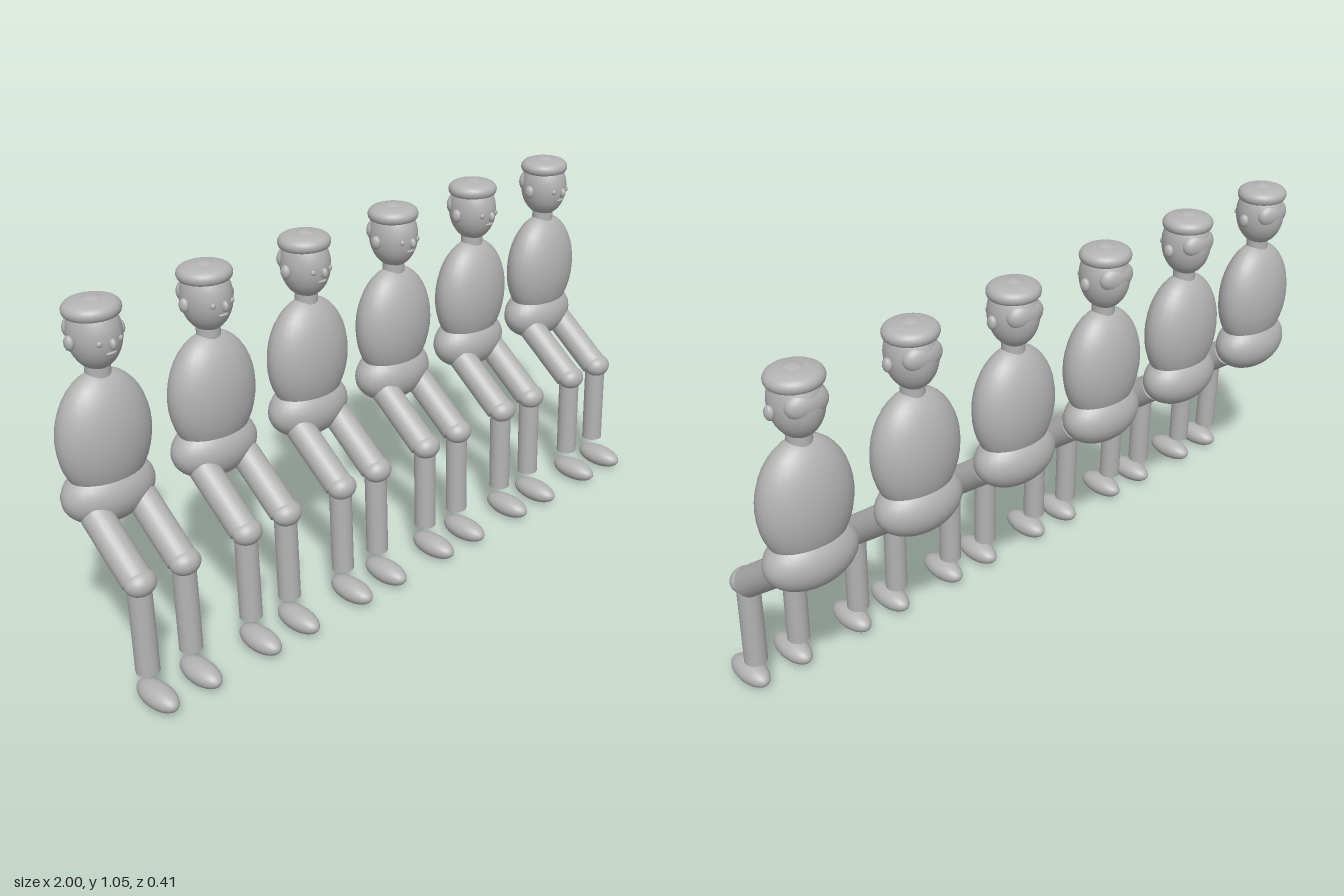
import * as THREE from 'three';

const grey = new THREE.MeshStandardMaterial({ color: 0xb3b3b3 });
grey.name = 'plain grey';

const bigBall = new THREE.SphereGeometry(1, 32, 20);
const smallBall = new THREE.SphereGeometry(1, 14, 10);

// Ellipsoid with given centre and radii
function ellipsoid(parent, name, pos, radii, geometry = bigBall) {
  const mesh = new THREE.Mesh(geometry, grey);
  mesh.name = name;
  mesh.position.set(...pos);
  mesh.scale.set(...radii);
  parent.add(mesh);
  return mesh;
}

// Cylinder running between two points
function limb(parent, name, from, to, radius) {
  const a = new THREE.Vector3(...from);
  const b = new THREE.Vector3(...to);
  const dir = b.clone().sub(a);
  const mesh = new THREE.Mesh(new THREE.CylinderGeometry(radius, radius, dir.length(), 24), grey);
  mesh.name = name;
  mesh.position.copy(a).add(b).multiplyScalar(0.5);
  mesh.quaternion.setFromUnitVectors(new THREE.Vector3(0, 1, 0), dir.normalize());
  parent.add(mesh);
}

function createHead() {
  const head = new THREE.Group();
  head.name = 'head';
  ellipsoid(head, 'skull', [0, 0.955, -0.118], [0.068, 0.096, 0.076]);
  ellipsoid(head, 'hair', [0, 0.965, -0.162], [0.06, 0.042, 0.032]);

  // Flat round cap with a soft rim
  const rim = new THREE.SplineCurve([
    [0, 0.999], [0.045, 0.999], [0.068, 1.003], [0.075, 1.015],
    [0.073, 1.027], [0.062, 1.037], [0.035, 1.044], [0, 1.046],
  ].map(([x, y]) => new THREE.Vector2(x, y)));
  const points = rim.getPoints(20);
  points.forEach((p) => { p.x = Math.max(p.x, 0); });
  const cap = new THREE.Mesh(new THREE.LatheGeometry(points, 32), grey);
  cap.name = 'cap';
  cap.position.z = -0.12;
  cap.scale.z = 0.97;
  head.add(cap);

  // Face
  ellipsoid(head, 'nose', [0, 0.945, -0.04], [0.009, 0.015, 0.011], smallBall);
  ellipsoid(head, 'mouth', [0, 0.92, -0.048], [0.016, 0.004, 0.006], smallBall);
  for (const side of [-1, 1]) {
    ellipsoid(head, 'eye', [side * 0.03, 0.95, -0.051], [0.008, 0.008, 0.006], smallBall);
    ellipsoid(head, 'ear', [side * 0.074, 0.947, -0.116], [0.012, 0.02, 0.016], smallBall);
  }
  return head;
}

function createLeg(side) {
  const leg = new THREE.Group();
  leg.name = side > 0 ? 'leftLeg' : 'rightLeg';
  const x = side * 0.07;
  limb(leg, 'thigh', [x, 0.483, -0.08], [x, 0.36, 0.08], 0.042);
  ellipsoid(leg, 'knee', [x, 0.36, 0.093], [0.044, 0.036, 0.038]);
  limb(leg, 'shin', [x, 0.35, 0.086], [x, 0.093, 0.093], 0.032);
  ellipsoid(leg, 'foot', [x, 0.033, 0.129], [0.038, 0.033, 0.078]);
  return leg;
}

function createFigure() {
  const figure = new THREE.Group();
  ellipsoid(figure, 'torso', [0, 0.68, -0.117], [0.135, 0.177, 0.085]);
  ellipsoid(figure, 'pelvis', [0, 0.52, -0.12], [0.135, 0.088, 0.085]);
  limb(figure, 'neck', [0, 0.83, -0.117], [0, 0.89, -0.117], 0.033);
  figure.add(createHead(), createLeg(-1), createLeg(1));
  return figure;
}

export function createModel() {
  const model = new THREE.Group();
  model.name = 'seatedRow';
  // Six identical seated figures side by side
  const prototype = createFigure();
  for (let i = 0; i < 6; i++) {
    const figure = prototype.clone();
    figure.name = `figure${i + 1}`;
    figure.position.x = (i - 2.5) * 0.346;
    model.add(figure);
  }
  return model;
}
